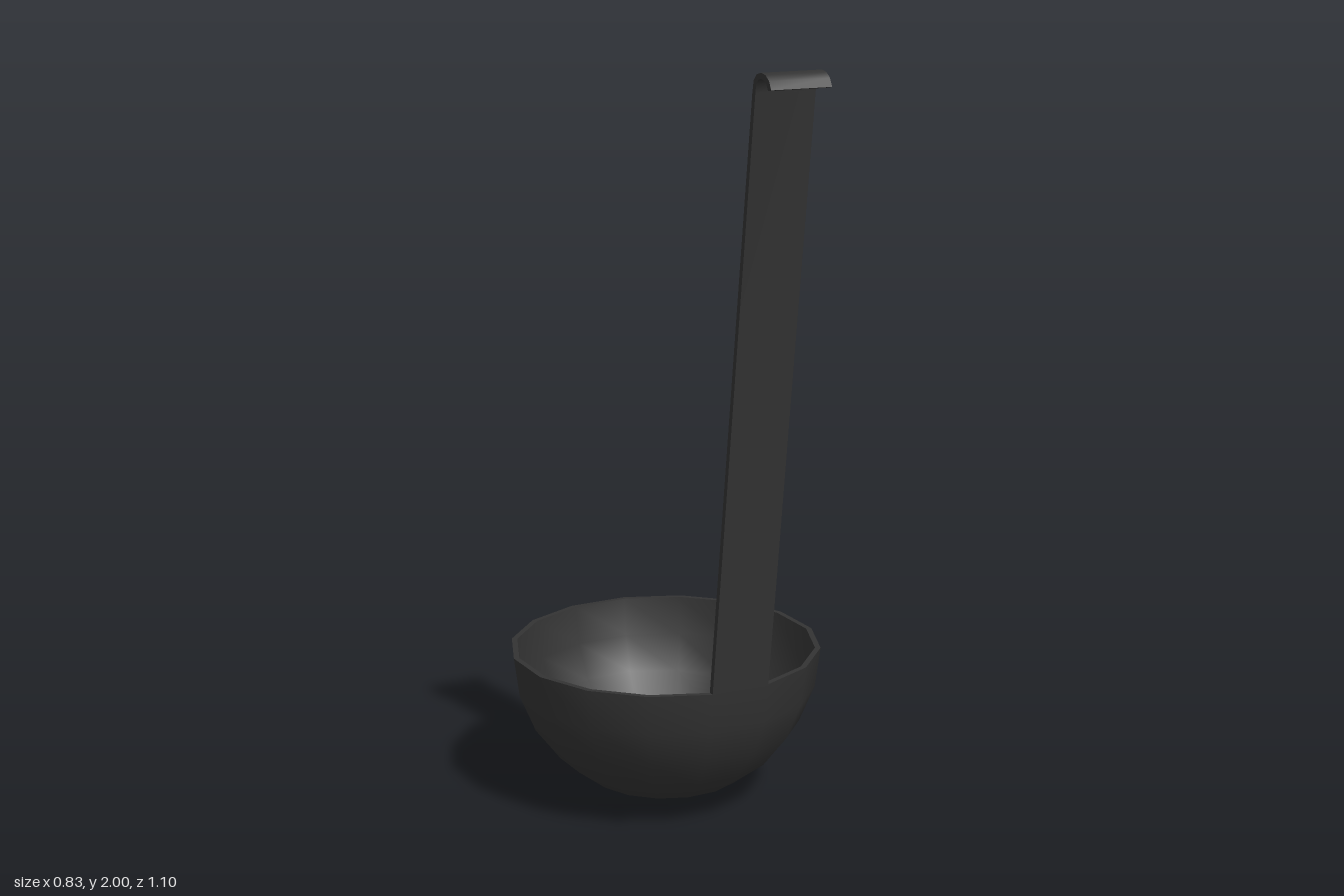
import * as THREE from 'three';
import { toCreasedNormals } from 'three/addons/utils/BufferGeometryUtils.js';

const SIDES = 16, RINGS = 6;
const RADIUS = 0.417, WALL = 0.015, RIM_Y = 0.42;

// Quarter-circle profile from the bottom up to the rim
function quarter(r) {
  return Array.from({ length: RINGS + 1 }, (_, i) => {
    const a = (i / RINGS) * Math.PI / 2;
    return new THREE.Vector2(r * Math.sin(a), RIM_Y - r * Math.cos(a));
  });
}

export function createModel() {
  const group = new THREE.Group();
  group.name = 'ladle';
  const darkGrey = new THREE.MeshStandardMaterial({ color: 0x333333 });
  darkGrey.name = 'darkGrey';

  const add = (name, geometry) => {
    const mesh = new THREE.Mesh(toCreasedNormals(geometry, 0.8), darkGrey);
    mesh.name = name;
    mesh.position.z = -0.135;
    group.add(mesh);
    return mesh;
  };

  // Bowl: outer shell, flat rim and inner shell in one profile
  const profile = [...quarter(RADIUS), ...quarter(RADIUS - WALL).reverse()];
  add('bowl', new THREE.LatheGeometry(profile, SIDES));

  // Handle: side outline (distance from bowl axis, height) with a hooked end,
  // as wide as one facet of the rim it rises from
  const half = Math.PI / SIDES;
  const apothem = RADIUS * Math.cos(half);
  const outline = [
    [apothem - WALL, RIM_Y], [apothem, RIM_Y],
    // underside of the hook
    [0.606, 1.95], [0.61, 1.973], [0.62, 1.983], [0.632, 1.986], [0.645, 1.983], [0.656, 1.976], [0.664, 1.961],
    // top of the hook
    [0.678, 1.964], [0.668, 1.984], [0.652, 1.996], [0.632, 2.0], [0.612, 1.995], [0.598, 1.98], [0.592, 1.95],
  ].map(([d, y]) => new THREE.Vector2(d, y));
  const width = 2 * RADIUS * Math.sin(half);
  const strip = new THREE.ExtrudeGeometry(new THREE.Shape(outline), { depth: width, bevelEnabled: false });
  strip.translate(0, 0, -width / 2);
  add('handle', strip).rotation.y = -(Math.PI / 2 + half);

  return group;
}
